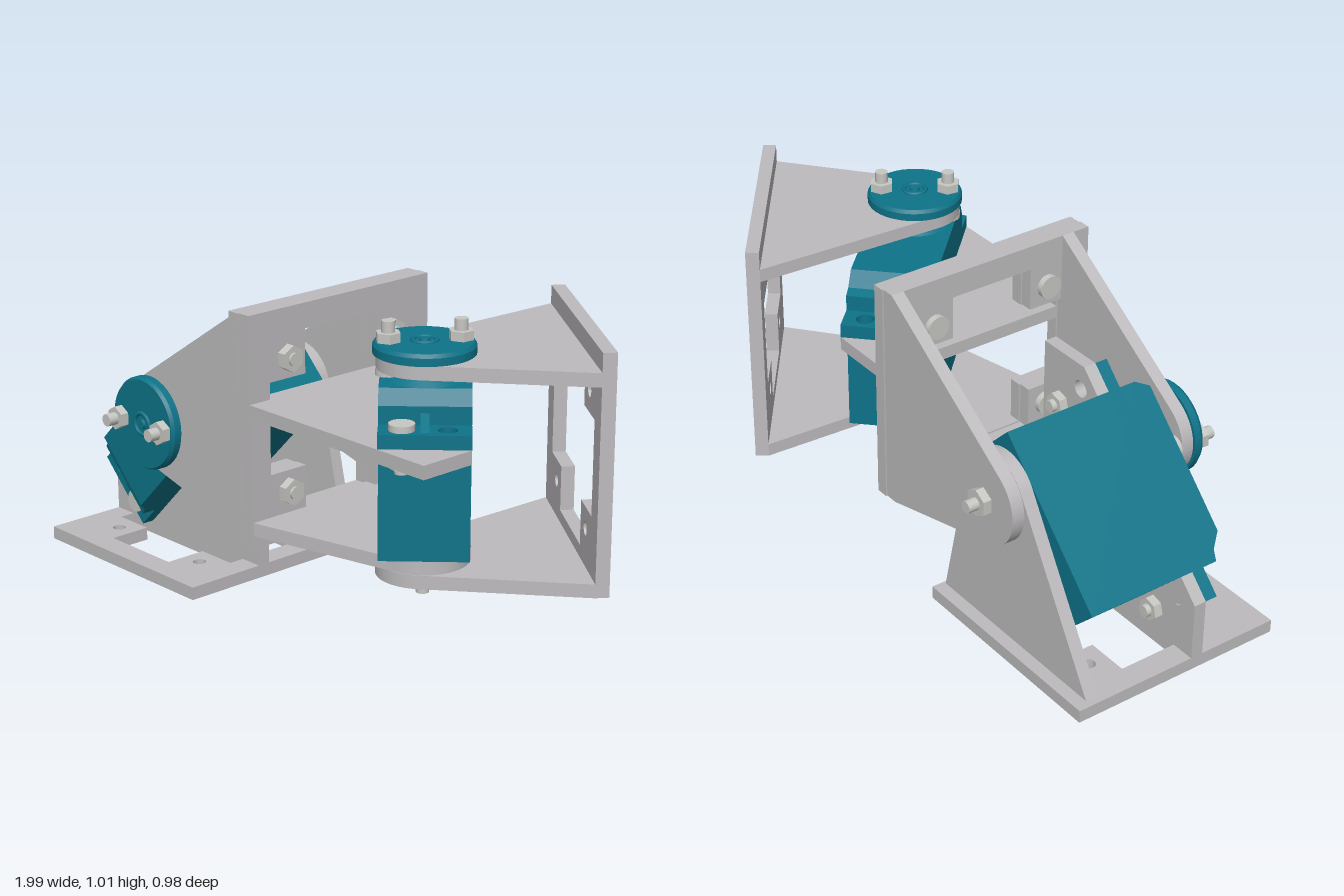
import * as THREE from 'three';

const grey = new THREE.MeshStandardMaterial({ color: 0xbdbbbd });
grey.name = 'bracketGrey';
const teal = new THREE.MeshStandardMaterial({ color: 0x0d7388 });
teal.name = 'servoTeal';
const steel = new THREE.MeshStandardMaterial({ color: 0xc6c6c2 });
steel.name = 'boltSteel';

const T = 0.042;                        // sheet thickness
const SIDE = 0.73;                      // base plate side
const MID = 0.095;                      // base plate centre along the pivot axis
const PIVOT = new THREE.Vector2(0.47, 0.51);
const SERVO = new THREE.Vector2(0.364, 0.41);
const L = 0.58, W = 0.265, FL = 0.767;  // servo body length, width, flange length
const V = (x, y) => new THREE.Vector2(x, y);

function add(parent, geometry, material, name, x = 0, y = 0, z = 0) {
  const mesh = new THREE.Mesh(geometry, material);
  mesh.name = name;
  mesh.position.set(x, y, z);
  parent.add(mesh);
  return mesh;
}

function group(parent, name) {
  const g = new THREE.Group();
  g.name = name;
  parent.add(g);
  return g;
}

const extrude = (shape, depth) =>
  new THREE.ExtrudeGeometry(shape, { depth, bevelEnabled: false, curveSegments: 20 });

function drill(shape, x, y, r) {
  const hole = new THREE.Path();
  hole.absarc(x, y, r, 0, Math.PI * 2, true);
  shape.holes.push(hole);
}

// Cylinder along z from z0 to z1; six sides give a flat-faced hexagon
function rod(r0, r1, z0, z1, sides = 32) {
  let g = new THREE.CylinderGeometry(r1, r0, z1 - z0, sides);
  g.rotateX(Math.PI / 2);
  g.translate(0, 0, (z0 + z1) / 2);
  if (sides === 6) {
    g = g.toNonIndexed();
    g.computeVertexNormals();
  }
  return g;
}

// Bolt along z: round head at one face, hex nut and shaft end at the other
function bolt(parent, x, y, zHead, zNut, tail, nutR = 0.038) {
  const b = group(parent, 'bolt');
  b.position.set(x, y, 0);
  const d = Math.sign(zNut - zHead);
  const span = (r, a, c, sides, name) =>
    add(b, rod(r, r, Math.min(a, c), Math.max(a, c), sides), steel, name);
  span(0.038, zHead - d * 0.02, zHead, 20, 'boltHead');
  span(nutR, zNut, zNut + d * 0.028, 6, 'hexNut');
  span(0.02, zHead, zNut + d * tail, 16, 'boltShaft');
}

// Square plate with a cross-shaped cut-out and four bolt holes
function crossPlate() {
  const h = SIDE / 2, a = 0.285, b = 0.145;
  const s = new THREE.Shape([V(-h, -h), V(h, -h), V(h, h), V(-h, h)]);
  s.holes.push(new THREE.Path([
    V(-a, -b), V(-a, b), V(-b, b), V(-b, a), V(b, a), V(b, b),
    V(a, b), V(a, -b), V(b, -b), V(b, -a), V(-b, -a), V(-b, -b),
  ]));
  for (const i of [-1, 1]) for (const j of [-1, 1]) drill(s, i * 0.21, j * 0.21, 0.021);
  return extrude(s, T);
}

// Plate tapering from edge b-a to a round end about c
function taperPlate(a, b, c, r) {
  const tangent = (p, sign) => {
    const d = p.clone().sub(c);
    return Math.atan2(d.y, d.x) + sign * Math.acos(r / d.length());
  };
  const s = new THREE.Shape();
  s.moveTo(b.x, b.y);
  s.lineTo(a.x, a.y);
  s.absarc(c.x, c.y, r, tangent(a, 1), tangent(b, -1) + Math.PI * 2, false);
  s.closePath();
  return extrude(s, T);
}

// Point of the tilted servo in mount coordinates
const onServo = (along, across) =>
  V(along, across).rotateAround(V(0, 0), Math.PI / 4).add(SERVO);

function buildMount(parent) {
  const g = group(parent, 'servoMount');
  add(g, crossPlate().rotateX(-Math.PI / 2), grey, 'basePlate', SIDE / 2, 0, MID);
  // Plate with an open slot that holds the servo body
  const e = W / 2, f = FL / 2, l = L / 2;
  const s = new THREE.Shape([
    V(0, 0), V(SIDE, 0), V(SIDE, 0.775), onServo(f, e), onServo(l, e), onServo(l, -e),
    onServo(-l, -e), onServo(-l, e), onServo(-f, e),
  ]);
  for (const i of [-1, 1]) {
    const p = onServo(i * 0.335, 0.065);
    drill(s, p.x, p.y, 0.028);
  }
  add(g, extrude(s, T), grey, 'slottedPlate', 0, 0, 0.146);
  add(g, taperPlate(V(SIDE, 0), V(0, 0), PIVOT, 0.14), grey, 'pivotPlate', 0, 0, -0.227);
}

function buildServo(parent) {
  const g = group(parent, 'servo');
  g.position.set(SERVO.x, SERVO.y, 0);
  g.rotation.z = Math.PI / 4;
  const profile = (points, depth) =>
    extrude(new THREE.Shape(points), depth).rotateX(Math.PI / 2).translate(0, depth / 2, 0);
  add(g, profile([
    V(-0.29, -0.183), V(0.29, -0.183), V(0.29, 0.285), V(0.262, 0.33),
    V(-0.21, 0.33), V(-0.255, 0.29), V(-0.29, 0.28),
  ], W), teal, 'servoBody');
  // Flange with ears, holes, ribs and bolts
  const f = FL / 2, e = W / 2;
  const s = new THREE.Shape([V(-f, -e), V(f, -e), V(f, e), V(-f, e)]);
  for (const i of [-1, 1]) for (const j of [-1, 1]) drill(s, i * 0.335, j * 0.065, 0.028);
  add(g, extrude(s, T), teal, 'servoFlange', 0, 0, 0.188);
  for (const i of [-1, 1]) {
    const tri = [V(i * 0.29, 0.23), V(i * 0.36, 0.23), V(i * 0.29, 0.265)];
    add(g, profile(tri, 0.025), teal, 'flangeRib');
    bolt(g, i * 0.335, -0.065, 0.23, 0.146, 0.045);
  }
  // Gear boss and output shaft
  add(g, rod(0.12, 0.085, 0.33, 0.357), teal, 'gearBoss', 0.146);
  add(g, rod(0.05, 0.05, 0.355, 0.41), teal, 'outputShaft', 0.146);
}

function buildSwing(parent, angle, bolted) {
  const g = group(parent, 'swingBracket');
  g.position.set(PIVOT.x, PIVOT.y, 0);
  g.rotation.z = angle;
  const low = -0.264, high = low + SIDE;
  add(g, crossPlate().rotateY(Math.PI / 2), grey, 'swingPlate', 0.5 - T, (low + high) / 2, MID);
  for (const [name, z] of [['hornArm', 0.36], ['pivotArm', -0.27]]) {
    add(g, taperPlate(V(0.5 - T, high), V(0.5 - T, low), V(0, 0), 0.14), grey, name, 0, 0, z);
  }
  // Round servo horn with its screw and two bolts
  add(g, rod(0.15, 0.15, 0.402, 0.426, 40), teal, 'servoHorn');
  add(g, rod(0.15, 0.143, 0.426, 0.437, 40), teal, 'hornRim');
  add(g, new THREE.TorusGeometry(0.035, 0.007, 8, 24), teal, 'hornCollar', 0, 0, 0.437);
  add(g, rod(0.018, 0.015, 0.43, 0.445, 16), teal, 'hornScrew');
  for (const i of [-1, 1]) bolt(g, i * 0.105, 0, 0.36, 0.437, 0.062);
  bolt(g, 0, 0, -0.184, -0.27, 0.064, 0.045);
  // Bolts joining this plate to the next mount
  if (bolted) {
    const b = group(g, 'plateBolts');
    b.rotation.y = Math.PI / 2;
    for (const i of [-1, 1]) for (const j of [-1, 1]) {
      bolt(b, -MID + i * 0.21, (low + high) / 2 + j * 0.21, 0.5 - T, 0.5 + T, 0.036, 0.042);
    }
  }
}

function buildJoint(parent, name, angle, bolted) {
  const g = group(parent, name);
  buildMount(g);
  buildServo(g);
  buildSwing(g, angle, bolted);
  return g;
}

export function createModel() {
  const model = new THREE.Group();
  model.name = 'servoArm';
  buildJoint(model, 'tiltJoint', 0, true).position.set(-1, 0, 0);
  // Second joint lies on the first bracket: its x, y, z run along z, x, y
  const pan = buildJoint(model, 'panJoint', THREE.MathUtils.degToRad(144), false);
  pan.quaternion.setFromRotationMatrix(new THREE.Matrix4().makeBasis(
    new THREE.Vector3(0, 0, 1), new THREE.Vector3(1, 0, 0), new THREE.Vector3(0, 1, 0)));
  pan.position.set(-0.03, 0.516, -0.275);
  return model;
}
